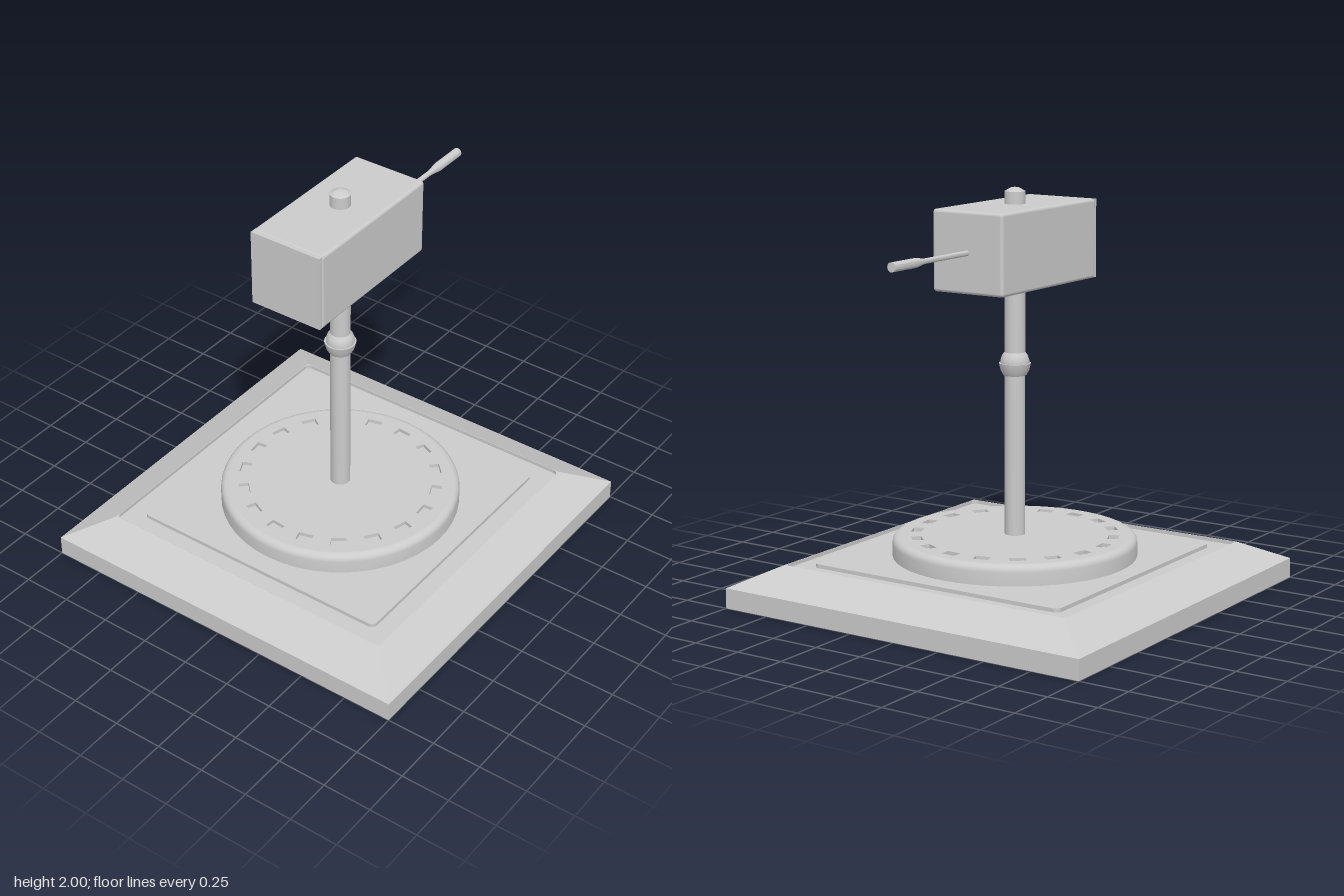
import * as THREE from 'three';
import { RoundedBoxGeometry } from 'three/addons/geometries/RoundedBoxGeometry.js';
import { toCreasedNormals } from 'three/addons/utils/BufferGeometryUtils.js';

const grey = new THREE.MeshStandardMaterial({ color: 0xcccccc });

export function createModel() {
  const model = new THREE.Group();

  const add = (name, geometry, x = 0, y = 0, z = 0) => {
    const mesh = new THREE.Mesh(geometry, grey);
    mesh.name = name;
    mesh.position.set(x, y, z);
    model.add(mesh);
    return mesh;
  };

  // Turned part from [radius, height] pairs, bottom to top
  const turned = (points, sides = 32) =>
    toCreasedNormals(new THREE.LatheGeometry(points.map(([r, h]) => new THREE.Vector2(r, h)), sides), 0.6);

  // Square outline with rounded corners
  const roundedSquare = (half, r, Type = THREE.Shape) => {
    const s = new Type();
    const c = half - r;
    s.absarc(c, c, r, 0, Math.PI / 2);
    s.absarc(-c, c, r, Math.PI / 2, Math.PI);
    s.absarc(-c, -c, r, Math.PI, Math.PI * 1.5);
    s.absarc(c, -c, r, Math.PI * 1.5, Math.PI * 2);
    s.closePath();
    return s;
  };

  // Horizontal plate with its underside at height 0
  const plate = (shape, depth, curveSegments = 6) =>
    new THREE.ExtrudeGeometry(shape, { depth, bevelEnabled: false, curveSegments }).rotateX(-Math.PI / 2);

  // Square base: slab, sloping sides, sunken border and raised middle
  add('baseSlab', new THREE.BoxGeometry(2, 0.1, 2), 0, 0.05, 0);
  const slope = new THREE.CylinderGeometry(0.8 * Math.SQRT2, Math.SQRT2, 0.1, 4, 1, true)
    .rotateY(Math.PI / 4).toNonIndexed();
  slope.computeVertexNormals();
  add('baseSlope', slope, 0, 0.15, 0);

  const rim = new THREE.Shape();
  rim.moveTo(-0.8, -0.8);
  rim.lineTo(0.8, -0.8);
  rim.lineTo(0.8, 0.8);
  rim.lineTo(-0.8, 0.8);
  rim.closePath();
  rim.holes.push(roundedSquare(0.797, 0.03, THREE.Path));
  add('baseRim', plate(rim, 0.02), 0, 0.18, 0);
  add('borderFloor', new THREE.PlaneGeometry(1.6, 1.6).rotateX(-Math.PI / 2), 0, 0.181, 0);
  add('basePanel', plate(roundedSquare(0.7, 0.03), 0.02), 0, 0.18, 0);

  // Round dial with a soft top edge
  const side = [[0.6, 0.19], [0.6, 0.265]];
  for (let i = 1; i <= 5; i++) {
    const a = (i / 5) * Math.PI / 2;
    side.push([0.565 + 0.035 * Math.cos(a), 0.265 + 0.035 * Math.sin(a)]);
  }
  add('dialSide', turned(side, 48));

  // Ring of 18 rectangular pockets in the dial top
  const top = new THREE.Shape().absarc(0, 0, 0.565, 0, Math.PI * 2);
  for (let i = 0; i < 18; i++) {
    const a = THREE.MathUtils.degToRad(5 + i * 20);
    const hole = [[-1, -1], [1, -1], [1, 1], [-1, 1]].map(([u, v]) => {
      const t = u * 0.038;
      const r = 0.485 + v * 0.026;
      return new THREE.Vector2(
        r * Math.sin(a) + t * Math.cos(a),
        r * Math.cos(a) - t * Math.sin(a));
    });
    top.holes.push(new THREE.Path(hole));
  }
  add('dialTop', plate(top, 0.02, 24), 0, 0.28, 0);
  add('pocketFloor', new THREE.CircleGeometry(0.565, 48).rotateX(-Math.PI / 2), 0, 0.281, 0);

  // Post running up through the head, with a shallow pointed cap
  add('post', turned([[0.05, 0.29], [0.05, 1.98], [0.02, 1.997], [0, 2]], 24));

  // Two-part collar on the post
  add('collarLower', turned([[0.05, 1.09], [0.056, 1.09], [0.07, 1.115], [0.078, 1.15], [0.05, 1.15]], 24));
  add('collarUpper', turned([[0.05, 1.15], [0.07, 1.15], [0.07, 1.165], [0.062, 1.188], [0.05, 1.203]], 24));

  // Head: rounded housing with a square-edged front cover
  add('headHousing', new RoundedBoxGeometry(0.396, 0.39, 0.81, 3, 0.016), 0, 1.725, 0.005);
  add('headFrontCover', new THREE.BoxGeometry(0.386, 0.384, 0.045), 0, 1.725, 0.4025);

  // Thin rod with a thicker grip, pointing backwards
  const handle = turned([[0, 0], [0.013, 0], [0.013, 0.35], [0.023, 0.42], [0.023, 0.595], [0, 0.595]], 16);
  add('rearHandle', handle.rotateX(-Math.PI / 2), 0, 1.725, -0.39);

  return model;
}
